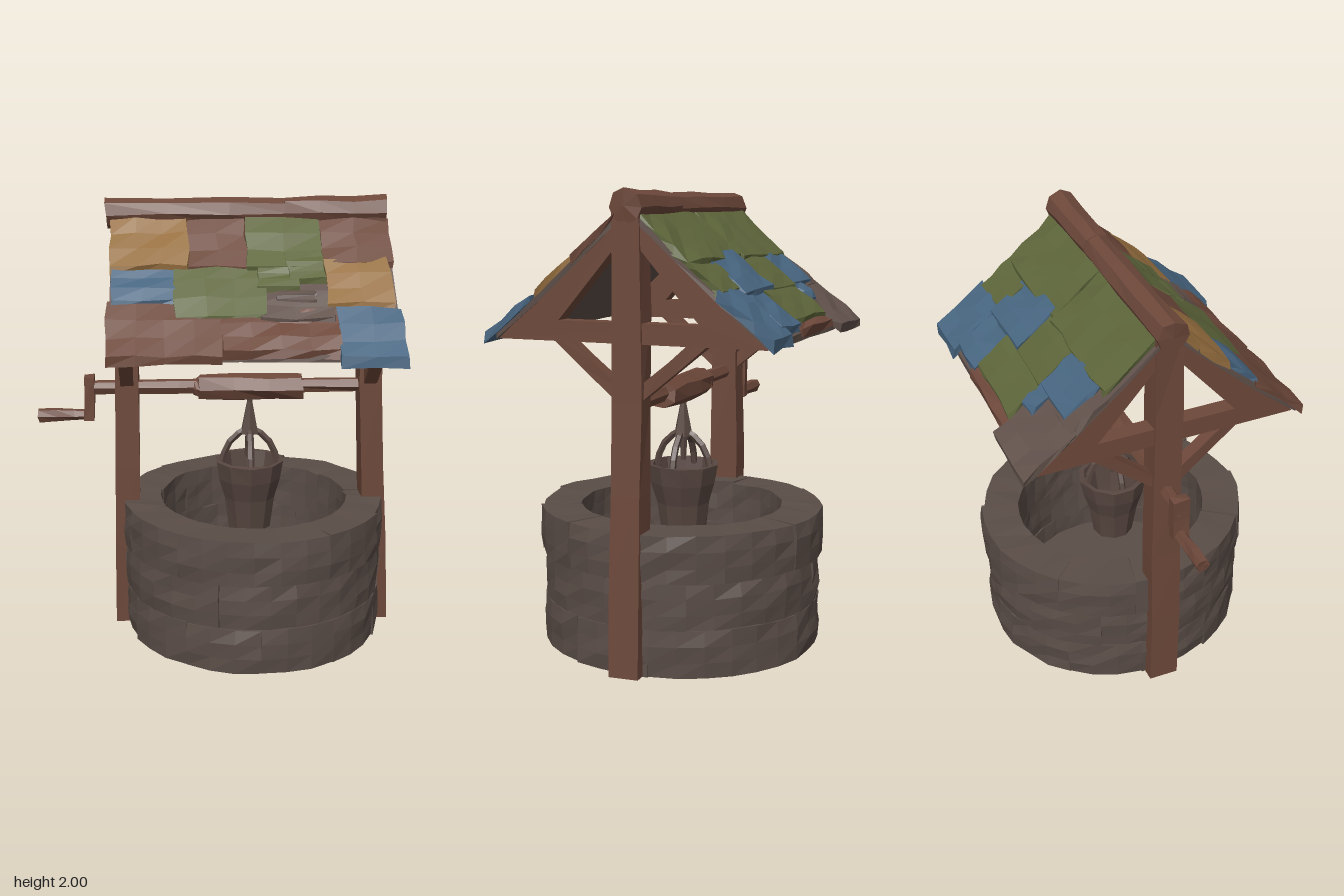
import * as THREE from 'three';

const paint = (name, color) => {
  const m = new THREE.MeshStandardMaterial({ color, flatShading: true });
  m.name = name;
  return m;
};

const lerp = THREE.MathUtils.lerp;
const WELL_X = 0.17;

// Height of the gently flared roof slope at a distance from the ridge
const roofY = (z) => 1.94 - 0.95 * z + 0.13 * z * z;

// Repeatable pseudo-random value in -1..1 from a position and a seed
function noise(x, y, z, seed) {
  const s = Math.sin(x * 127.1 + y * 311.7 + z * 74.7 + seed * 53.3) * 43758.5453;
  return (s - Math.floor(s)) * 2 - 1;
}

// Moves every vertex by a rule fn(v), then roughens it; shared corners stay together
function shape(geo, fn, rough = 0, seed = 1) {
  const p = geo.attributes.position;
  const v = new THREE.Vector3();
  for (let i = 0; i < p.count; i++) {
    v.fromBufferAttribute(p, i);
    if (fn) fn(v);
    const [a, b, c] = [v.x, v.y, v.z].map((n) => Math.round(n * 1000) / 1000);
    v.x += rough * noise(a, b, c, seed);
    v.y += rough * noise(b, c, a, seed + 1);
    v.z += rough * noise(c, a, b, seed + 2);
    p.setXYZ(i, v.x, v.y, v.z);
  }
  geo.computeVertexNormals();
  return geo;
}

export function createModel() {
  const model = new THREE.Group();
  model.name = 'wishingWell';

  const wood = paint('wood', 0x6d483a);
  const stone = paint('stone', 0x5a4d47);
  const slate = paint('greyBoard', 0x62524c);
  const ochre = paint('ochreTile', 0x966f3f);
  const green = paint('greenTile', 0x5e663b);
  const blue = paint('blueTile', 0x486681);
  const iron = paint('bucketGrey', 0x584741);

  const add = (name, geo, mat, parent = model) => {
    const m = new THREE.Mesh(geo, mat);
    m.name = name;
    parent.add(m);
    return m;
  };
  const group = (name) => {
    const g = new THREE.Group();
    g.name = name;
    model.add(g);
    return g;
  };

  // Stone ring: solid core with floor, faced with three courses of bent blocks
  const well = group('stoneWell');
  well.position.x = WELL_X;
  well.scale.x = 0.95;
  const core = [[0, 0.004], [0.6, 0.004], [0.6, 0.57], [0.48, 0.57], [0.48, 0.1], [0, 0.1]];
  add('wellCore', new THREE.LatheGeometry(core.map(([x, y]) => new THREE.Vector2(x, y)), 28), stone, well);
  const BLOCKS = 11;
  for (let row = 0; row < 3; row++) {
    for (let i = 0; i < BLOCKS; i++) {
      const seed = row * 20 + i;
      const a0 = ((i + row * 0.45) / BLOCKS) * Math.PI * 2;
      const step = (Math.PI * 2) / BLOCKS;
      const outer = [0.626, 0.624, 0.633][row] + 0.005 * noise(row, i, 3, 7);
      const geo = shape(new THREE.BoxGeometry(1, 1, 1, 3, 3, 1), (v) => {
        const a = a0 + (v.x + 0.5) * step;
        const edge = Math.abs(v.y) > 0.4 ? 0.003 : -0.003;
        const r = v.z > 0 ? outer - edge : 0.455;
        const y = 0.003 + row * 0.203 + (v.y + 0.5) * 0.202;
        v.set(Math.sin(a) * r, y, Math.cos(a) * r);
      });
      shape(geo, (v) => {
        // chip the faces, keeping the base flat
        const k = 0.011 * noise(Math.round(v.x * 500), Math.round(v.y * 500), Math.round(v.z * 500), seed);
        v.x *= 1 + k;
        v.z *= 1 + k;
        if (v.y > 0.05) v.y += k * 0.5;
      });
      add('stoneBlock', geo, stone, well);
    }
  }

  // Timber posts, splayed outwards at the foot
  const post = (name, footX, topX, width) => {
    add(name, shape(new THREE.BoxGeometry(1, 1, 1, 1, 5, 1), (v) => {
      const t = v.y + 0.5;
      const w = lerp(width, 0.1, Math.min(1, t * 1.5));
      v.set(lerp(footX, topX, Math.min(1, t * 1.5)) + v.x * w, 0.006 + t * 1.9, v.z * lerp(0.14, 0.12, t));
    }, 0.005, 4), wood);
  };
  post('rightPost', -0.42, -0.406, 0.115);
  post('leftPost', 0.756, 0.694, 0.11);

  // Gable frames: rafters and tie beam in one pierced outline, plus knee braces
  for (const x of [-0.408, 0.697]) {
    const frame = group('gableFrame');
    frame.position.x = x;
    const outline = new THREE.Shape([[-0.59, 1.385], [0.59, 1.385], [0, 1.92]].map(([a, b]) => new THREE.Vector2(a, b)));
    for (const s of [-1, 1]) {
      outline.holes.push(new THREE.Path([[0.058, 1.47], [0.31, 1.47], [0.058, 1.76]].map(([a, b]) => new THREE.Vector2(a * s, b))));
    }
    const geo = new THREE.ExtrudeGeometry(outline, { depth: 0.075, bevelEnabled: false });
    geo.translate(0, 0, -0.0375);
    geo.rotateY(Math.PI / 2);
    add('rafters', geo, wood, frame);
    for (const s of [-1, 1]) {
      const brace = add('kneeBrace', shape(new THREE.BoxGeometry(0.06, 0.055, 0.41, 1, 1, 2), null, 0.004, 6), wood, frame);
      brace.position.set(0, 1.3, s * 0.19);
      brace.rotation.x = -s * 0.7;
    }
  }

  // Roof panel bent onto one slope; side 1 is the front, -1 the back
  const roof = group('roof');
  let seed = 1;
  function panel(name, mat, side, x0, x1, z0, z1, low, high, lip, rough) {
    const [l, r] = side > 0 ? [x0, x1] : [-x1, -x0];
    const nx = Math.max(1, Math.round((x1 - x0) / 0.13));
    const geo = shape(new THREE.BoxGeometry(1, 1, 1, nx, 1, 3), (v) => {
      const w = v.z + 0.5;
      const z = lerp(z0, z1, w);
      v.set(lerp(l, r, v.x + 0.5), roofY(z) + (v.y > 0 ? high + lip * w : low), z);
    }, rough, seed++);
    if (side < 0) geo.rotateY(Math.PI);
    add(name, geo, mat, roof);
  }
  for (const side of [1, -1]) panel('roofBoards', slate, side, -0.46, 0.74, 0.0, 0.6, -0.035, -0.006, 0, 0.003);

  // Patchwork tiles: material, x range, distance from ridge, extra lift
  const front = [
    [ochre, -0.465, -0.13, 0.05, 0.265, 0.008], [wood, -0.13, 0.12, 0.05, 0.265, 0],
    [green, 0.12, 0.44, 0.05, 0.27, 0.006], [wood, 0.44, 0.745, 0.05, 0.25, 0],
    [blue, -0.455, -0.185, 0.25, 0.405, 0.004], [green, -0.19, 0.19, 0.24, 0.475, 0.01],
    [slate, 0.16, 0.47, 0.3, 0.48, 0], [ochre, 0.45, 0.725, 0.23, 0.425, 0.012],
    [wood, -0.475, 0.0, 0.395, 0.63, 0], [wood, 0.0, 0.49, 0.43, 0.605, 0],
    [blue, 0.485, 0.755, 0.43, 0.645, 0.008],
    [green, 0.16, 0.33, 0.26, 0.36, 0.014], [green, 0.29, 0.45, 0.22, 0.33, 0.018],
    [slate, 0.24, 0.4, 0.36, 0.41, 0.014],
  ];
  const back = [
    [green, -0.44, 0.15, 0.05, 0.28, 0.006], [green, 0.15, 0.735, 0.05, 0.27, 0.004],
    [slate, -0.465, -0.1, 0.27, 0.44, -0.004], [slate, -0.48, -0.12, 0.42, 0.645, 0.004],
    [blue, -0.385, -0.1, 0.275, 0.43, 0.012], [blue, -0.21, -0.11, 0.41, 0.51, 0.012],
    [green, -0.11, 0.19, 0.25, 0.43, 0.008],
    [green, -0.11, 0.31, 0.4, 0.57, 0.006], [wood, -0.12, 0.33, 0.53, 0.605, -0.008],
    [blue, 0.18, 0.53, 0.24, 0.43, 0.014], [green, 0.49, 0.74, 0.25, 0.4, 0.004],
    [blue, 0.31, 0.55, 0.41, 0.59, 0.008], [blue, 0.52, 0.765, 0.39, 0.625, 0.012],
  ];
  for (const [list, side] of [[front, 1], [back, -1]]) {
    for (const [mat, x0, x1, z0, z1, lift] of list) {
      panel('roofTile', mat, side, x0, x1, z0, z1, -0.015, 0.01 + lift, 0.014, 0.008);
    }
  }

  // Horizontal rounded timber running from x0 to x1
  const bar = (name, x0, x1, y, r0, r1, sides, rough = 0.004) => {
    const geo = new THREE.CylinderGeometry(r1, r0, x1 - x0, sides, 3);
    geo.rotateZ(-Math.PI / 2);
    geo.translate((x0 + x1) / 2, y, 0);
    return add(name, shape(geo, null, rough, 9), wood);
  };
  bar('ridgeBeam', -0.485, 0.32, 1.922, 0.07, 0.061, 8, 0.006);
  bar('ridgeBeamEnd', 0.3, 0.745, 1.927, 0.063, 0.072, 8, 0.005);

  // Windlass: axle, drum and crank
  bar('axle', -0.6, 0.68, 1.135, 0.031, 0.035, 6);
  bar('drumCollar', -0.105, -0.06, 1.13, 0.035, 0.06, 7);
  bar('drum', -0.08, 0.39, 1.13, 0.064, 0.062, 7, 0.006);
  const arm = add('crankArm', shape(new THREE.BoxGeometry(0.045, 0.205, 0.075, 1, 2, 1), null, 0.004, 3), wood);
  arm.position.set(-0.582, 1.085, 0);
  bar('crankHandle', -0.815, -0.57, 1.005, 0.034, 0.024, 6);

  // Bucket: open tapered pail with an inside and a floor
  const bucket = group('bucket');
  bucket.position.x = 0.152;
  const pail = [[0, 0.46], [0.1, 0.46], [0.122, 0.61], [0.15, 0.7], [0.164, 0.785], [0.14, 0.785], [0.112, 0.62], [0.09, 0.5], [0, 0.5]];
  add('pail', shape(new THREE.LatheGeometry(pail.map(([x, y]) => new THREE.Vector2(x, y)), 10), (v) => {
    if (Math.hypot(v.x, v.z) < 0.01) v.x = v.z = 0;
  }, 0.003, 5), iron, bucket);

  // Crossed bail handles meeting at the rope
  for (const turn of [0, Math.PI / 2]) {
    const curve = new THREE.CatmullRomCurve3([[-0.13, 0.76], [-0.105, 0.85], [-0.045, 0.915], [0, 0.94], [0.045, 0.915], [0.105, 0.85], [0.13, 0.76]]
      .map(([x, y]) => new THREE.Vector3(x, y, 0)));
    add('bailHandle', new THREE.TubeGeometry(curve, 8, 0.016, 5), iron, bucket).rotation.y = turn;
  }
  const rope = (name, top, bottom, y0, y1) => {
    add(name, new THREE.CylinderGeometry(top, bottom, y1 - y0, 6), iron, bucket).position.y = (y0 + y1) / 2;
  };
  rope('ropeKnot', 0.014, 0.045, 0.91, 1.06);
  rope('rope', 0.014, 0.014, 1.05, 1.12);
  rope('ropeTail', 0.02, 0.012, 0.8, 0.91);

  return model;
}
